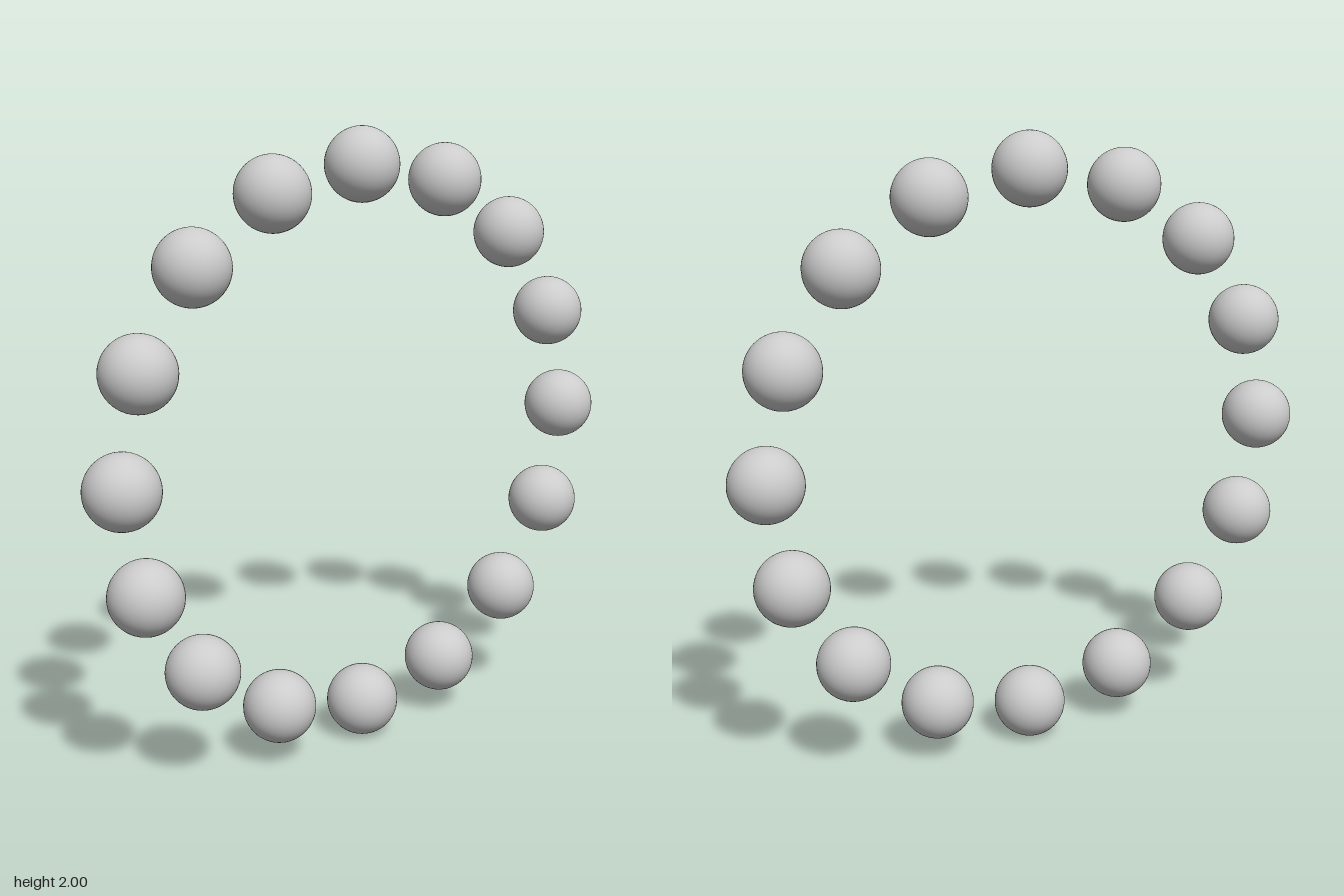
import * as THREE from 'three';

const BALLS = 16;
const BALL_RADIUS = 0.117;
const RING_RADIUS = 1 - BALL_RADIUS;

export function createModel() {
  const ring = new THREE.Group();
  ring.name = 'ballRing';

  const material = new THREE.MeshStandardMaterial({ color: 0xcccccc });
  const geometry = new THREE.SphereGeometry(BALL_RADIUS, 48, 32);

  // Equal balls spaced evenly around an upright circle
  for (let i = 0; i < BALLS; i++) {
    const angle = (i / BALLS) * Math.PI * 2;
    const ball = new THREE.Mesh(geometry, material);
    ball.name = `ball${i + 1}`;
    ball.position.set(RING_RADIUS * Math.cos(angle), 1 + RING_RADIUS * Math.sin(angle), 0);
    ring.add(ball);
  }
  return ring;
}
